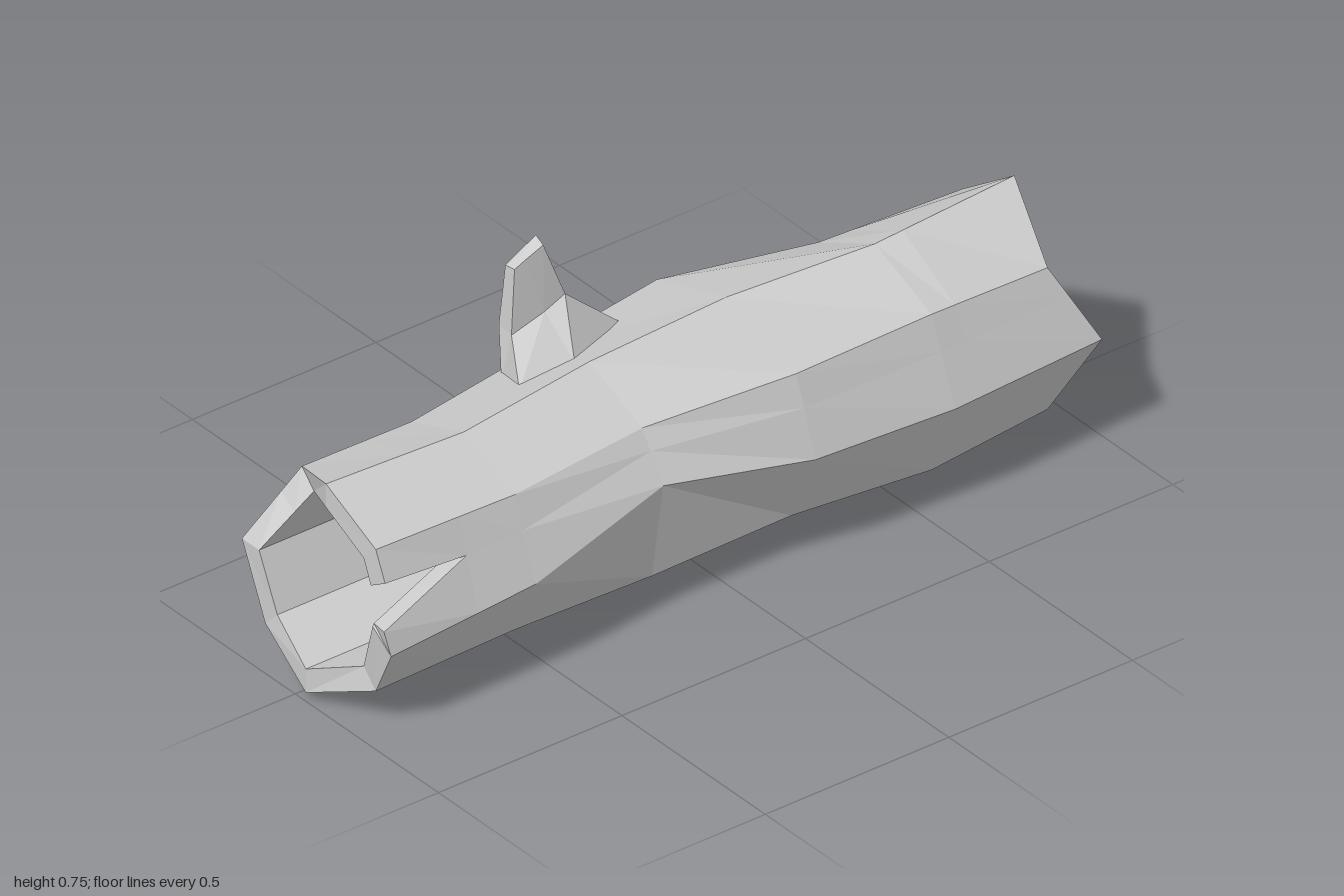
import * as THREE from 'three';

const CX = 0.037, CY = 0.28;
const V = (x, y, z) => new THREE.Vector3(x, y, z);

// Regular octagon whose corners have their own z; corner 0 is at +x, counter-clockwise from the front
const octagon = (r, zs) => zs.map((z, k) =>
  V(CX + r * Math.cos(k * Math.PI / 4), CY + r * Math.sin(k * Math.PI / 4), z));
const blend = (a, b, t) => a.map((p, i) => p.clone().lerp(b[i], t));

// Add a pair of coincident columns on the two sides that are split at the ends
function withSplits(ring) {
  const right = ring[0].clone().lerp(ring[1], 0.6);
  const left = ring[3].clone().lerp(ring[4], 0.35);
  return [ring[0], right, right.clone(), ...ring.slice(1, 4), left, left.clone(), ...ring.slice(4)];
}
const isSplit = j => j === 1 || j === 6;

function flatMesh(name, points) {
  const geometry = new THREE.BufferGeometry().setFromPoints(points);
  geometry.computeVertexNormals();
  const mesh = new THREE.Mesh(geometry,
    new THREE.MeshStandardMaterial({ color: 0xcccccc, flatShading: true }));
  mesh.name = name;
  return mesh;
}
const quad = (out, a, b, c, d) => out.push(a, b, c, a, c, d);

function buildLog() {
  const backZ = [-0.97, -0.88, -0.93, -0.93, -0.95, -0.98, -0.93, -0.88];
  const frontZ = [0.97, 0.95, 0.945, 0.87, 0.975, 0.97, 1.0, 0.95];

  // Bark corners (x, y) of the uneven middle rings
  const middle = [
    [-0.55, [0.318, 0.28, 0.235, 0.48, 0.037, 0.56, -0.16, 0.465, -0.24, 0.28, -0.16, 0.085, 0.037, 0.003, 0.237, 0.085]],
    [-0.18, [0.305, 0.29, 0.237, 0.475, -0.01, 0.545, -0.25, 0.47, -0.32, 0.33, -0.19, 0.105, 0.02, 0.035, 0.22, 0.105]],
    [0.2, [0.26, 0.35, 0.186, 0.46, 0, 0.535, -0.2, 0.46, -0.31, 0.33, -0.18, 0.1, 0.02, 0.03, 0.22, 0.1]],
    [0.57, [0.29, 0.26, 0.215, 0.45, 0.037, 0.52, -0.145, 0.455, -0.188, 0.28, -0.14, 0.11, 0.037, 0.045, 0.22, 0.11]],
  ].map(([z, xy]) => Array.from({ length: 8 }, (_, k) => V(xy[2 * k], xy[2 * k + 1], z)));

  const back = octagon(0.255, backZ), front = octagon(0.255, frontZ);
  back[2].y = 0.585;
  back[6].y = 0.04;
  front[0].set(0.29, 0.23, 0.965);
  const outer = [back, blend(middle[0], back, 0.2), ...middle, blend(middle[3], front, 0.4), front];

  // Straight bore
  const bore = [backZ, ...[-0.62, -0.55, -0.18, 0.2, 0.57, 0.72].map(z => Array(8).fill(z)), frontZ]
    .map(zs => octagon(0.195, zs));
  bore[0][5].z = -1;

  const O = outer.map(withSplits), I = bore.map(withSplits), last = O.length - 1;

  // Open the splits: right side at the front, left side at the back
  O[last][1].set(0.278, 0.29, 0.975);
  I[last][1].set(0.23, 0.285, 0.965);
  O[last][2].set(0.25, 0.39, 0.95);
  I[last][2].set(0.2, 0.36, 0.95);
  O[0][6].set(-0.152, 0.445, -0.93);
  I[0][6].set(-0.105, 0.405, -0.93);
  O[0][7].set(-0.213, 0.3, -0.95);
  I[0][7].set(-0.157, 0.29, -0.96);

  const tri = [], n = O[0].length;
  for (let j = 0; j < n; j++) {
    const k = (j + 1) % n;
    if (isSplit(j)) {
      // Cut faces on both lips of the split
      const i = j === 1 ? last - 1 : 0;
      quad(tri, O[i][j], I[i][j], I[i + 1][j], O[i + 1][j]);
      quad(tri, O[i][k], O[i + 1][k], I[i + 1][k], I[i][k]);
      continue;
    }
    // Bark and bore
    for (let i = 0; i < last; i++) {
      quad(tri, O[i][j], O[i][k], O[i + 1][k], O[i + 1][j]);
      quad(tri, I[i][j], I[i + 1][j], I[i + 1][k], I[i][k]);
    }
    // End rims
    quad(tri, O[last][j], O[last][k], I[last][k], I[last][j]);
    quad(tri, O[0][j], I[0][j], I[0][k], O[0][k]);
  }
  return flatMesh('hollowLog', tri);
}

function buildBranch() {
  // Cross-sections from the flared foot to the slanted tip
  const sections = [
    [V(-0.05, 0.495, 0.35), V(-0.05, 0.51, 0.2), V(-0.145, 0.485, 0), V(-0.21, 0.45, 0.2), V(-0.165, 0.45, 0.31)],
    [V(-0.155, 0.56, 0.29), V(-0.155, 0.585, 0.2), V(-0.16, 0.605, 0.14), V(-0.215, 0.56, 0.19), V(-0.212, 0.555, 0.28)],
    [V(-0.17, 0.712, 0.27), V(-0.17, 0.725, 0.24), V(-0.172, 0.742, 0.19), V(-0.198, 0.755, 0.19), V(-0.202, 0.708, 0.27)],
  ];
  const tri = [];
  for (let i = 0; i < 2; i++) {
    for (let j = 0; j < 5; j++) {
      const k = (j + 1) % 5;
      quad(tri, sections[i][j], sections[i][k], sections[i + 1][k], sections[i + 1][j]);
    }
  }
  const tip = sections[2];
  for (let j = 1; j < 4; j++) tri.push(tip[0], tip[j], tip[j + 1]);
  return flatMesh('branchStub', tri);
}

export function createModel() {
  const group = new THREE.Group();
  group.name = 'fallenLog';
  group.add(buildLog(), buildBranch());
  return group;
}
